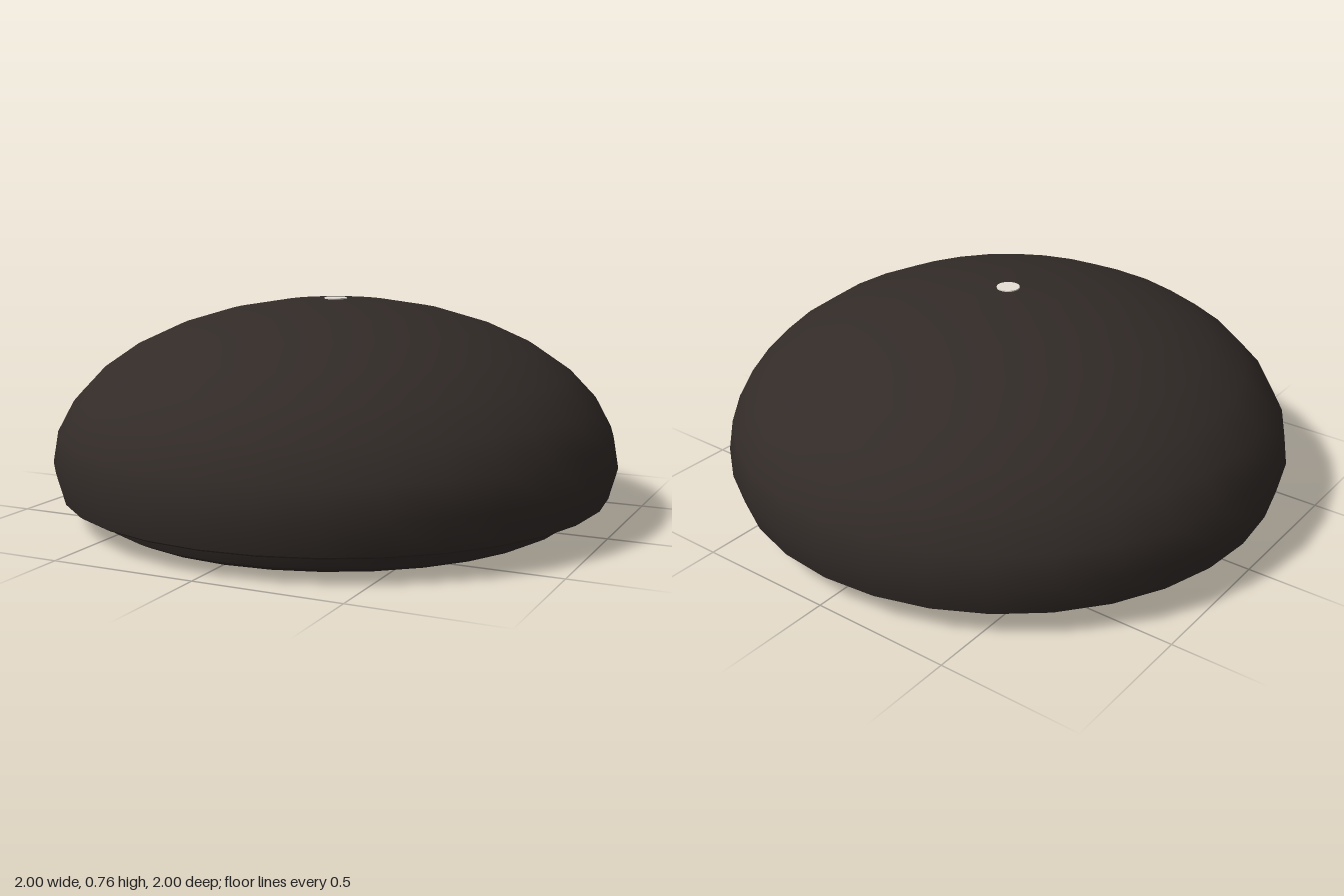
import * as THREE from 'three';

const SEGMENTS = 32;

export function createModel() {
  const group = new THREE.Group();
  const dark = new THREE.MeshStandardMaterial({ color: 0x322b28 });
  const pale = new THREE.MeshStandardMaterial({ color: 0xe6dfd6 });

  // Profiles run from bottom to top as [radius, height] pairs
  const addLathe = (name, profile, material) => {
    const points = profile.map(([r, y]) => new THREE.Vector2(r, y));
    const mesh = new THREE.Mesh(new THREE.LatheGeometry(points, SEGMENTS), material);
    mesh.name = name;
    group.add(mesh);
  };

  // Squashed hemisphere with a short skirt tucking in below its widest ring
  const dome = [[0.97, 0.09]];
  for (let i = 0; i <= 8; i++) {
    const a = (i / 8) * Math.PI / 2;
    dome.push([i === 8 ? 0 : Math.cos(a), 0.2 + 0.563 * Math.sin(a)]);
  }
  addLathe('dome', dome, dark);

  // Underside of the rim, kept separate for a sharp edge
  addLathe('rimUnderside', [[0.8, 0.08], [0.96, 0.083], [0.97, 0.09]], dark);

  // Recessed foot: wall, bevel and flat bottom
  addLathe('footWall', [[0.85, 0.02], [0.873, 0.065], [0.873, 0.085]], dark);
  addLathe('footBottom', [[0, 0], [0.81, 0], [0.85, 0.02]], dark);

  // Small pale dot set into the crown
  const dot = new THREE.Mesh(new THREE.CylinderGeometry(0.04, 0.04, 0.01, SEGMENTS), pale);
  dot.name = 'crownDot';
  dot.position.y = 0.76;
  group.add(dot);

  return group;
}
